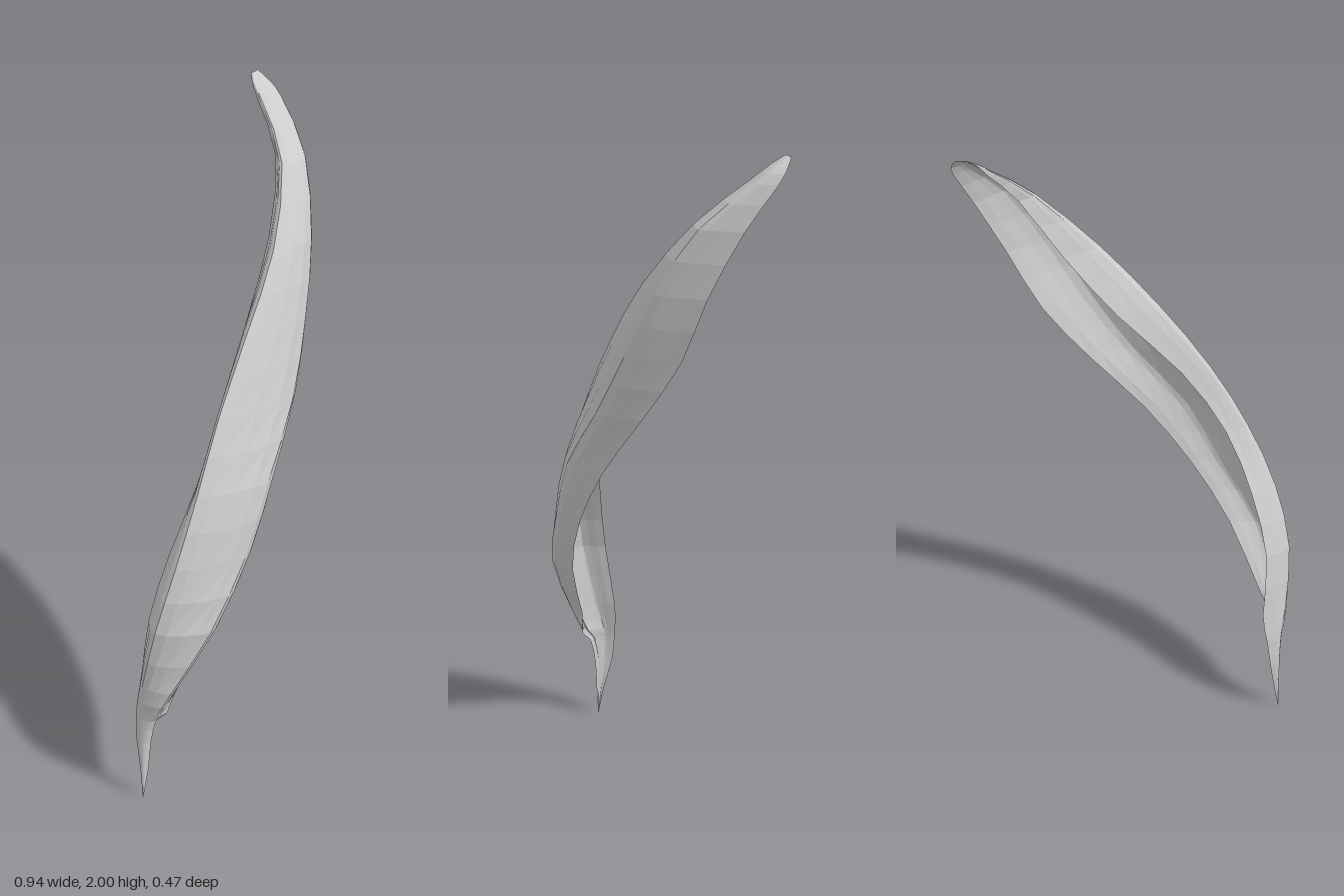
import * as THREE from 'three';

// Cross-sections going up: y, then x,z of folded back edge, upper shoulder, front ridge, lower edge
const SECTIONS = [
  [0.00, -0.46, 0.02, -0.46, 0.02, -0.46, 0.02, -0.46, 0.02],
  [0.10, -0.445, 0.005, -0.457, 0.01, -0.457, 0.022, -0.445, 0.03],
  [0.20, -0.435, -0.02, -0.457, 0.0, -0.455, 0.025, -0.437, 0.037],
  [0.28, -0.425, -0.025, -0.457, 0.0, -0.452, 0.045, -0.432, 0.055],
  [0.31, -0.42, -0.025, -0.458, 0.003, -0.45, 0.07, -0.42, 0.085],
  [0.40, -0.405, -0.02, -0.467, 0.03, -0.44, 0.118, -0.375, 0.10],
  [0.60, -0.405, 0.01, -0.465, 0.08, -0.36, 0.203, -0.265, 0.168],
  [0.80, -0.35, 0.045, -0.41, 0.115, -0.23, 0.23, -0.135, 0.188],
  [1.00, -0.26, 0.078, -0.32, 0.125, -0.12, 0.23, 0.005, 0.162],
  [1.20, -0.125, 0.067, -0.205, 0.115, 0.045, 0.197, 0.155, 0.095],
  [1.40, 0.055, 0.022, -0.055, 0.10, 0.165, 0.152, 0.277, 0.02],
  [1.60, 0.205, -0.012, 0.115, 0.07, 0.262, 0.10, 0.367, -0.02],
  [1.80, 0.315, -0.07, 0.278, -0.02, 0.36, 0.005, 0.437, -0.10],
  [1.93, 0.37, -0.175, 0.362, -0.15, 0.43, -0.13, 0.467, -0.185],
  [1.975, 0.388, -0.21, 0.386, -0.20, 0.435, -0.185, 0.462, -0.213],
  [2.00, 0.41, -0.232, 0.41, -0.23, 0.425, -0.228, 0.442, -0.232],
];
const ACROSS = 12, ALONG = 30;

// Closed ring: outer skin from back edge to lower edge, then inner skin back again
function ring(rails, t) {
  const curve = new THREE.CatmullRomCurve3(rails.map((r) => r.getPoint(t)), false, 'centripetal');
  const width = curve.getPoint(0).distanceTo(curve.getPoint(1));
  const thickness = Math.min(0.028 * Math.sqrt(Math.max(Math.sin(Math.PI * t), 0)), width * 0.2);
  const outer = [], inner = [];
  for (let i = 0; i <= ACROSS; i++) {
    const u = i / ACROSS, p = curve.getPoint(u);
    outer.push(p);
    if (i === 0 || i === ACROSS) continue;
    const a = curve.getPoint(u - 0.06), b = curve.getPoint(u + 0.06);
    const dx = b.x - a.x, dz = b.z - a.z, len = Math.hypot(dx, dz) || 1;
    const d = thickness * Math.sin(Math.PI * u);
    inner.unshift(new THREE.Vector3(p.x + (dz / len) * d, p.y, p.z - (dx / len) * d));
  }
  return [...outer, ...inner];
}

function bladeGeometry() {
  // Four lengthwise rails through the matching points of every section
  const rails = [0, 1, 2, 3].map((k) => new THREE.CatmullRomCurve3(
    SECTIONS.map((s) => new THREE.Vector3(s[1 + 2 * k], s[0], s[2 + 2 * k])), false, 'catmullrom', 0.5));
  const positions = [], index = [], n = ACROSS * 2;
  for (let j = 0; j <= ALONG; j++) {
    for (const p of ring(rails, j / ALONG)) positions.push(p.x, p.y, p.z);
  }
  for (let j = 0; j < ALONG; j++) {
    for (let i = 0; i < n; i++) {
      const a = j * n + i, b = j * n + (i + 1) % n;
      index.push(a, b, b + n, a, b + n, a + n);
    }
  }
  const g = new THREE.BufferGeometry();
  g.setAttribute('position', new THREE.Float32BufferAttribute(positions, 3));
  g.setIndex(index);
  g.computeVertexNormals();
  return g;
}

export function createModel() {
  const group = new THREE.Group();
  group.name = 'curledLeaf';
  const material = new THREE.MeshStandardMaterial({
    color: 0xcccccc, flatShading: true, side: THREE.DoubleSide,
  });
  // Hollow curled blade running down into a thin stalk
  const blade = new THREE.Mesh(bladeGeometry(), material);
  blade.name = 'bladeAndStalk';
  group.add(blade);
  return group;
}
